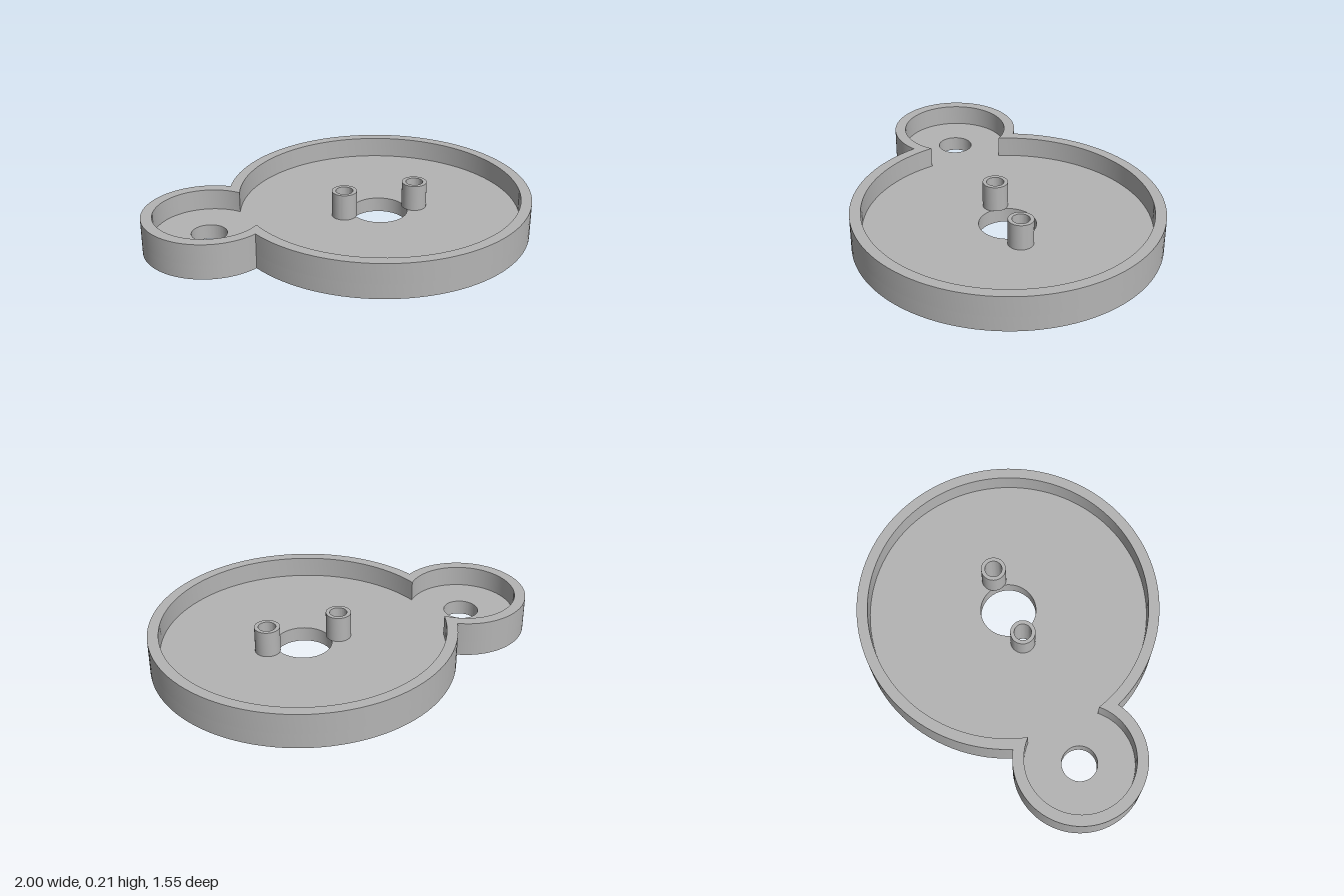
import * as THREE from 'three';
import { toCreasedNormals } from 'three/addons/utils/BufferGeometryUtils.js';

const BIG_X = 0.225, SMALL_X = -0.668;
const FLOOR = 0.077, RIM = 0.185, POST_TOP = 0.213;
const POSTS = [BIG_X - 0.19, BIG_X + 0.19];
const POST_BORE = 0.044;

// Union outline of the large and small discs
function outline(PathType, bigR, smallR) {
  const d = BIG_X - SMALL_X;
  const a = (d * d + bigR * bigR - smallR * smallR) / (2 * d);
  const b = Math.acos(a / bigR);
  const c = Math.acos((d - a) / smallR);
  const path = new PathType();
  path.absarc(BIG_X, 0, bigR, b - Math.PI, Math.PI - b, false);
  path.absarc(SMALL_X, 0, smallR, c, 2 * Math.PI - c, false);
  path.closePath();
  return path;
}

function circle(PathType, x, r) {
  return new PathType().absarc(x, 0, r, 0, Math.PI * 2, false);
}

// Extrude a shape upwards from y0 to y1
function slab(name, shape, holes, y0, y1, material, curveSegments) {
  shape.holes.push(...holes);
  let geometry = new THREE.ExtrudeGeometry(shape, { depth: y1 - y0, bevelEnabled: false, curveSegments });
  geometry.rotateX(-Math.PI / 2);
  geometry.translate(0, y0, 0);
  geometry = toCreasedNormals(geometry, 0.5);
  const mesh = new THREE.Mesh(geometry, material);
  mesh.name = name;
  return mesh;
}

export function createModel() {
  const group = new THREE.Group();
  group.name = 'housing';
  const grey = new THREE.MeshStandardMaterial({ color: 0xb4b4b4 });
  grey.name = 'grey plastic';

  // Floor with the shaft hole, the side hole and the post bores
  const floorHoles = [
    circle(THREE.Path, BIG_X, 0.144),
    circle(THREE.Path, SMALL_X, 0.09),
    ...POSTS.map((x) => circle(THREE.Path, x, POST_BORE)),
  ];
  group.add(slab('floor', outline(THREE.Shape, 0.775, 0.332), floorHoles, 0, FLOOR, grey, 48));

  // Rim wall following both discs
  group.add(slab('rimWall', outline(THREE.Shape, 0.775, 0.332),
    [outline(THREE.Path, 0.72, 0.276)], FLOOR, RIM, grey, 48));

  // Hollow posts overhanging the shaft hole
  POSTS.forEach((x, i) => {
    group.add(slab(i ? 'leftPost' : 'rightPost', circle(THREE.Shape, x, 0.064),
      [circle(THREE.Path, x, POST_BORE)], FLOOR, POST_TOP, grey, 24));
  });

  return group;
}
